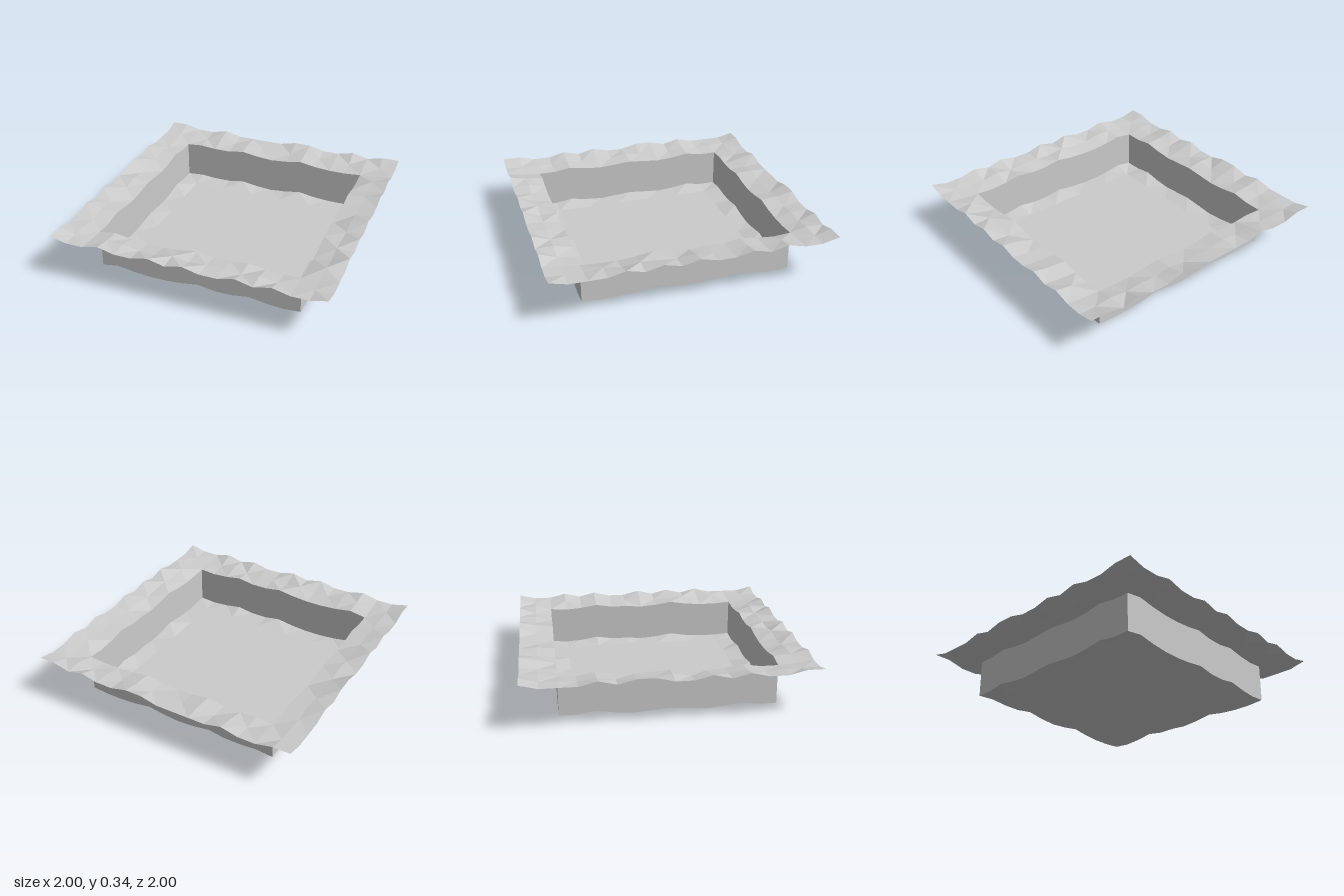
import * as THREE from 'three';

const N = 16;
const STEP = 2 / N;
const DROP = 0.28;

// Bump heights (hundredths) along each side: outer edge, middle row, pit rim
const BUMPS = {
  front: ['63363363633636336', '33244224233242233', '11131001311310111'],
  back: ['66336333366336366', '33324242224232433', '11121131013100111'],
  right: ['63363633636363336', '33242422423424233', '11101311013100111'],
  left: ['63336366336363366', '33324232423242333', '11113101210131111'],
};

// Rough ground that flattens out towards the middle
function bump(i, j) {
  const ring = Math.min(i, j, N - i, N - j);
  if (ring > 2) return 0;
  const read = (side, t) => Number(BUMPS[side][ring][t]) / 100;
  const found = [];
  if (j === ring) found.push(read('back', i));
  if (j === N - ring) found.push(read('front', i));
  if (i === ring) found.push(read('left', j));
  if (i === N - ring) found.push(read('right', j));
  return Math.max(...found) + (ring === 0 ? 0.005 : 0);
}

const point = (i, j, base) => [i * STEP - 1, base + bump(i, j), j * STEP - 1];

function makeMesh(name, quads) {
  const positions = [];
  for (const [a, b, c, d] of quads) positions.push(...a, ...b, ...c, ...a, ...c, ...d);
  const geometry = new THREE.BufferGeometry();
  geometry.setAttribute('position', new THREE.Float32BufferAttribute(positions, 3));
  geometry.computeVertexNormals();
  const material = new THREE.MeshStandardMaterial({
    color: 0xcccccc, flatShading: true, side: THREE.DoubleSide,
  });
  const mesh = new THREE.Mesh(geometry, material);
  mesh.name = name;
  return mesh;
}

// One grid cell facing up, with its diagonal alternating like a checkerboard
function cell(i, j, base) {
  const q = [
    point(i, j, base), point(i, j + 1, base),
    point(i + 1, j + 1, base), point(i + 1, j, base),
  ];
  return (i + j) % 2 ? [q[1], q[2], q[3], q[0]] : q;
}

export function createModel() {
  const group = new THREE.Group();
  group.name = 'sunkenGround';
  const rim = [];
  const floor = [];
  const walls = [];
  const lo = 2;
  const hi = N - 2;

  // Raised border and sunken floor
  for (let i = 0; i < N; i++) {
    for (let j = 0; j < N; j++) {
      const inside = i >= lo && i < hi && j >= lo && j < hi;
      if (inside) floor.push(cell(i, j, 0));
      else rim.push(cell(i, j, DROP));
    }
  }

  // Upright walls joining the border to the floor
  const wall = (a, b) => walls.push([
    point(...a, 0), point(...b, 0), point(...b, DROP), point(...a, DROP),
  ]);
  for (let k = lo; k < hi; k++) {
    wall([k, hi], [k + 1, hi]);
    wall([k + 1, lo], [k, lo]);
    wall([hi, k + 1], [hi, k]);
    wall([lo, k], [lo, k + 1]);
  }

  group.add(makeMesh('border', rim), makeMesh('pitFloor', floor), makeMesh('pitWalls', walls));
  return group;
}
